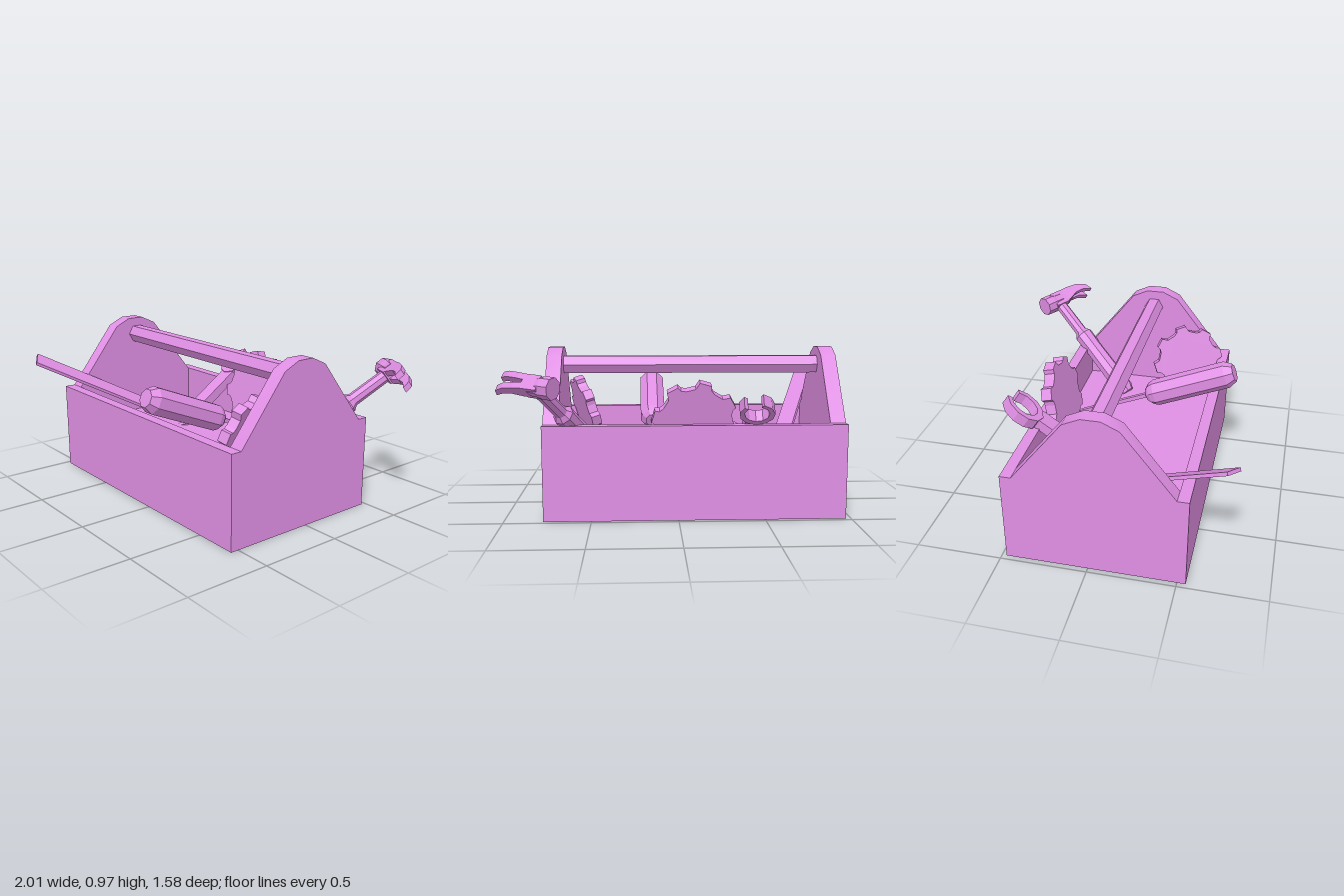
import * as THREE from 'three';
import { toCreasedNormals } from 'three/addons/utils/BufferGeometryUtils.js';

const V = (x, y, z) => new THREE.Vector3(x, y, z);
const P = (pts) => pts.map(([x, y]) => new THREE.Vector2(x, y));

// faceted normals for the low-poly look
function facet(geo) {
  const g = geo.index ? geo.toNonIndexed() : geo;
  g.computeVertexNormals();
  return g;
}

// plate of a 2D outline, centred on its thickness
function plate(shape, depth) {
  const g = new THREE.ExtrudeGeometry(shape, { depth, bevelEnabled: false, curveSegments: 4 });
  return facet(g.translate(0, 0, -depth / 2));
}

// eight-sided turned solid with a flat side towards z
function turned(profile) {
  return facet(new THREE.LatheGeometry(P(profile), 8, Math.PI / 8));
}

// stands an object at pos with its y along up and its z near facing
function orient(obj, pos, up, facing) {
  const y = up.clone().normalize();
  const x = y.clone().cross(facing).normalize();
  const z = x.clone().cross(y);
  obj.quaternion.setFromRotationMatrix(new THREE.Matrix4().makeBasis(x, y, z));
  obj.position.copy(pos);
  return obj;
}

// toothed disc outline: square teeth with flat valleys
function sawShape(r, teeth) {
  const pts = [];
  for (let i = 0; i < teeth; i++) {
    for (const [t, k] of [[0, 0.9], [0.05, 1], [0.4, 1.02], [0.52, 0.87], [0.85, 0.85]]) {
      const a = -((i + t) / teeth) * Math.PI * 2 + 1.96;
      pts.push([Math.cos(a) * r * k, Math.sin(a) * r * k]);
    }
  }
  return new THREE.Shape(P(pts));
}

// deep open jaw outline, opening towards +y
function jawShape() {
  const outer = [], inner = [], n = 9, a0 = 2.1, sweep = 5.15;
  for (let i = 0; i <= n; i++) {
    const a = a0 + (sweep * i) / n;
    outer.push([Math.cos(a) * 0.1, Math.sin(a) * 0.125 - 0.022]);
    inner.unshift([Math.cos(a) * 0.07, Math.sin(a) * 0.09 - 0.014]);
  }
  return new THREE.Shape(P([...outer, ...inner]));
}

export function createModel() {
  const root = new THREE.Group();
  const orchid = new THREE.MeshStandardMaterial({ color: 0xe08fe4 });
  orchid.name = 'orchid';
  const mesh = (name, geo, parent = root) => {
    const m = new THREE.Mesh(geo, orchid);
    m.name = name;
    parent.add(m);
    return m;
  };
  const group = (name) => {
    const g = new THREE.Group();
    g.name = name;
    root.add(g);
    return g;
  };

  // tray: raised floor and long walls
  const cx = -0.0975, cz = 0.0375;
  const box = (name, w, h, d, x, y, z) =>
    mesh(name, new THREE.BoxGeometry(w, h, d)).position.set(x, y, z);
  box('floor', 1.6, 0.32, 0.92, cx, 0.16, cz);
  box('frontWall', 1.745, 0.55, 0.064, cx, 0.275, 0.5165);
  box('backWall', 1.745, 0.55, 0.064, cx, 0.275, -0.4415);

  // gabled end panels, softly shaded over the crown
  const half = [[0.511, 0], [0.511, 0.55], [0.446, 0.55], [0.15, 0.925], [0.053, 0.97]];
  const gable = new THREE.Shape(P([...half, ...half.map(([z, y]) => [-z, y]).reverse()]));
  for (const [name, x] of [['leftEnd', 0.73], ['rightEnd', -0.925]]) {
    const end = mesh(name, toCreasedNormals(plate(gable, 0.09), 0.6));
    end.rotation.y = Math.PI / 2;
    end.position.set(x, 0, cz);
  }

  // hexagonal carrying bar
  const bar = mesh('carryBar', facet(new THREE.CylinderGeometry(0.06, 0.06, 1.6, 6)));
  bar.rotation.z = Math.PI / 2;
  bar.position.set(cx, 0.863, 0.03);

  // flat ruler leaning over the front wall
  const rulerDir = V(-0.34, 0.465, 0.86).normalize();
  const rulerSide = V(0.1, -0.03, 0.065).normalize();
  const ruler = mesh('ruler', new THREE.BoxGeometry(0.12, 1.04, 0.02));
  orient(ruler, V(-0.95, 0.767, 0.755).addScaledVector(rulerDir, -0.52),
    rulerDir, rulerSide.clone().cross(rulerDir));

  // saw discs
  orient(mesh('backSawDisc', plate(sawShape(0.25, 8), 0.065)),
    V(-0.1, 0.55, -0.385), V(0, 0.965, -0.23), V(0, 0.23, 0.965));
  orient(mesh('sideSawDisc', plate(sawShape(0.225, 8), 0.06)),
    V(0.57, 0.55, 0.29), V(0.25, 0.96, -0.08), V(-0.95, 0.25, 0.3));

  // double-ended wrench
  const wrench = group('wrench');
  mesh('wrenchShaft', new THREE.BoxGeometry(0.1, 0.34, 0.06), wrench);
  for (const s of [1, -1]) {
    const jaw = mesh(s > 0 ? 'upperJaw' : 'lowerJaw', plate(jawShape(), 0.07), wrench);
    jaw.position.y = s * 0.29;
    jaw.rotation.z = s > 0 ? -0.25 : Math.PI - 0.25;
  }
  orient(wrench, V(-0.43, 0.495, -0.295), V(0, 0.56, -0.83), V(0, 0.83, 0.56));

  // screwdriver, butt end up
  const driver = group('screwdriver');
  mesh('driverGrip', turned([[0, -0.58], [0.045, -0.58], [0.07, -0.555], [0.083, -0.52],
    [0.083, -0.05], [0.055, 0], [0, 0]]), driver);
  mesh('driverBlade', new THREE.BoxGeometry(0.025, 0.52, 0.025), driver).position.y = -0.82;
  orient(driver, V(0.138, 0.722, 0.64), V(0, 0.385, 0.923), V(0, 0.923, -0.385));

  // claw hammer: y runs up the handle, x towards the claw
  const hammer = group('hammer');
  mesh('hammerHandle', turned([[0, -0.82], [0.045, -0.82], [0.062, -0.78], [0.058, -0.42],
    [0.062, -0.31], [0.04, -0.28], [0.038, 0.03], [0, 0.03]]), hammer);
  mesh('hammerHub', new THREE.BoxGeometry(0.11, 0.1, 0.09), hammer);
  const face = mesh('hammerFace', turned([[0, -0.02], [0.052, -0.02], [0.054, 0.03],
    [0.062, 0.06], [0.062, 0.122], [0, 0.122]]), hammer);
  face.rotation.z = Math.PI / 2;
  const prong = new THREE.Shape(P([[0, -0.045], [0.07, -0.04], [0.14, -0.015], [0.2, -0.015],
    [0.262, -0.04], [0.24, 0.01], [0.18, 0.04], [0.1, 0.05], [0, 0.05]]));
  for (const s of [1, -1]) {
    const claw = mesh(s > 0 ? 'clawA' : 'clawB', plate(prong, 0.036), hammer);
    claw.position.z = s * 0.023;
    claw.rotation.y = -s * 0.08;
  }
  const headDir = V(0.82, 0.02, 0.57);
  const handleDir = V(0.405, 0.585, -0.705);
  orient(hammer, V(0.775, 0.795, -0.675), handleDir, headDir.clone().cross(handleDir));

  return root;
}
